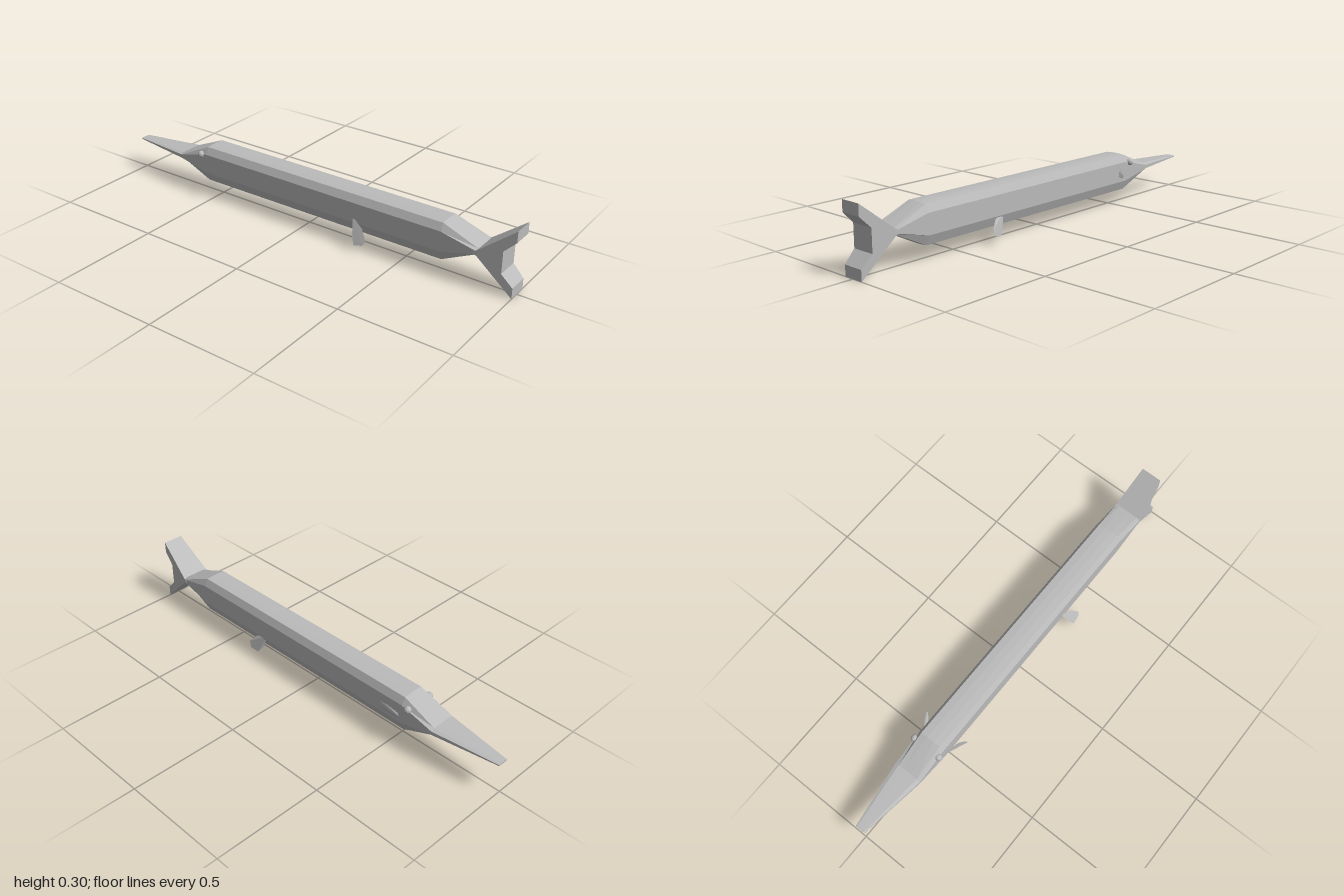
import * as THREE from 'three';

const MID_Z = -0.004;

function meshFrom(name, positions, material) {
  const g = new THREE.BufferGeometry();
  g.setAttribute('position', new THREE.Float32BufferAttribute(positions, 3));
  g.computeVertexNormals();
  const mesh = new THREE.Mesh(g, material);
  mesh.name = name;
  return mesh;
}

// Skin a closed unit section along x; stations are [x, centreY, halfHeight, halfWidth]
function loft(name, section, stations, material) {
  const rings = stations.map(([x, y, h, w]) => section.map(([u, v]) => [x, y + v * h, MID_Z + u * w]));
  const n = section.length;
  const out = [];
  const tri = (...pts) => pts.forEach((p) => out.push(...p));
  for (let i = 0; i < rings.length - 1; i++) {
    for (let k = 0; k < n; k++) {
      const j = (k + 1) % n;
      const a = rings[i][k], b = rings[i + 1][k], c = rings[i + 1][j], d = rings[i][j];
      tri(a, b, c);
      tri(a, c, d);
    }
  }
  // end caps
  const first = rings[0], last = rings[rings.length - 1];
  for (let k = 1; k < n - 1; k++) {
    tri(first[0], first[k], first[k + 1]);
    tri(last[0], last[k + 1], last[k]);
  }
  return meshFrom(name, out, material);
}

// Thin fin: a fan of triangles over its outline
function fin(name, pts, material) {
  const out = [];
  for (let k = 1; k < pts.length - 1; k++) out.push(...pts[0], ...pts[k], ...pts[k + 1]);
  return meshFrom(name, out, material);
}

export function createModel() {
  const model = new THREE.Group();
  model.name = 'needleFish';
  const grey = new THREE.MeshStandardMaterial({ color: 0xbbbbbb, flatShading: true, side: THREE.DoubleSide });
  grey.name = 'plain grey';

  // Body and beak: flat sides, bevelled shoulders, gently rounded back and belly
  const half = [[1, -0.47], [1, 0.59], [0.74, 0.97], [0.25, 1]];
  const section = [
    ...half,
    [-0.25, 1], [-0.74, 0.97], [-1, 0.59], [-1, -0.47],
    [-0.74, -0.97], [-0.25, -1], [0.25, -1], [0.74, -0.97],
  ];
  model.add(loft('body', section, [
    [-0.70, 0.156, 0.016, 0.066],
    [-0.545, 0.155, 0.085, 0.066],
    [0.685, 0.155, 0.085, 0.066],
    [0.845, 0.163, 0.012, 0.066],
  ], grey));
  model.add(loft('beak', section, [
    [-1, 0.155, 0.004, 0.024],
    [-0.70, 0.156, 0.016, 0.066],
  ], grey));

  // Forked tail, narrowing toward its tips
  const outline = [
    [0.83, 0.155], [0.845, 0.15], [1, 0.003], [1, 0.05], [0.95, 0.10],
    [0.95, 0.20], [1, 0.25], [1, 0.30], [0.845, 0.175], [0.83, 0.17],
  ].map(([x, y]) => new THREE.Vector2(x, y));
  const tailGeo = new THREE.ExtrudeGeometry(new THREE.Shape(outline), { depth: 2, bevelEnabled: false });
  const p = tailGeo.attributes.position;
  for (let i = 0; i < p.count; i++) {
    const w = THREE.MathUtils.mapLinear(p.getX(i), 0.84, 1, 0.066, 0.048);
    p.setZ(i, MID_Z + (p.getZ(i) - 1) * w);
  }
  tailGeo.computeVertexNormals();
  const tail = new THREE.Mesh(tailGeo, grey);
  tail.name = 'tail';
  model.add(tail);

  // Eyes
  for (const [name, z] of [['frontEye', 0.061], ['backEye', -0.069]]) {
    const eye = new THREE.Mesh(new THREE.SphereGeometry(0.016, 12, 8), grey);
    eye.name = name;
    eye.position.set(-0.575, 0.2, z);
    model.add(eye);
  }

  // Pectoral fins
  model.add(fin('frontPectoralFin', [
    [-0.545, 0.14, 0.058], [-0.51, 0.165, 0.072], [-0.485, 0.193, 0.082], [-0.465, 0.187, 0.09],
    [-0.447, 0.163, 0.098], [-0.438, 0.135, 0.103], [-0.505, 0.125, 0.072],
  ], grey));
  model.add(fin('backPectoralFin', [
    [-0.545, 0.13, -0.064], [-0.525, 0.155, -0.07], [-0.49, 0.185, -0.088], [-0.46, 0.198, -0.103],
    [-0.45, 0.18, -0.105], [-0.465, 0.15, -0.09], [-0.51, 0.132, -0.072],
  ], grey));

  // Pelvic fins
  model.add(fin('frontPelvicFin', [
    [0.265, 0.14, 0.058], [0.325, 0.105, 0.074], [0.355, 0.062, 0.094], [0.345, 0.045, 0.102],
    [0.305, 0.035, 0.106], [0.29, 0.06, 0.095],
  ], grey));
  model.add(fin('backPelvicFin', [
    [0.265, 0.125, -0.06], [0.325, 0.105, -0.07], [0.355, 0.07, -0.088], [0.345, 0.04, -0.091],
    [0.305, 0.032, -0.084], [0.285, 0.06, -0.07],
  ], grey));

  return model;
}
